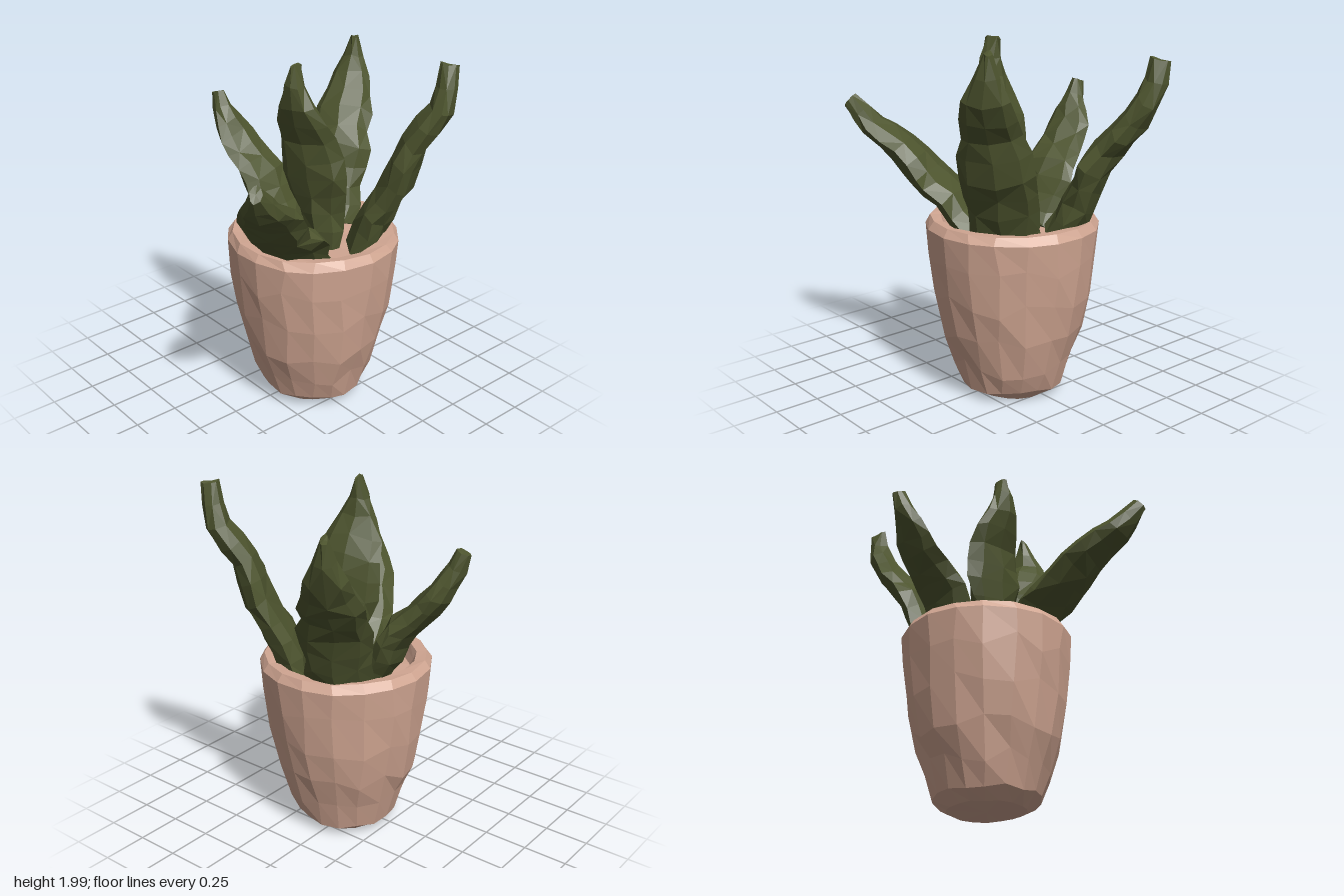
import * as THREE from 'three';
import { mergeVertices } from 'three/addons/utils/BufferGeometryUtils.js';

// Repeatable noise in -1..1
const noise = (n) => {
  const s = Math.sin(n * 127.1 + 11.7) * 43758.5453;
  return (s - Math.floor(s)) * 2 - 1;
};

const potMaterial = new THREE.MeshStandardMaterial({ color: 0xd2a793, flatShading: true, roughness: 0.9 });
const leafMaterial = new THREE.MeshStandardMaterial({ color: 0x4d542e, flatShading: true, roughness: 0.9 });

// Hand-carved pot: outer wall, rounded rim, stepped inside and soil floor
function makePot() {
  const profile = [
    [0, 0.005], [0.215, 0.008], [0.292, 0.065], [0.34, 0.21], [0.398, 0.39], [0.437, 0.6],
    [0.465, 0.8], [0.479, 0.975], [0.45, 1.02], [0.392, 1.015], [0.375, 0.97], [0.355, 0.93], [0, 0.925],
  ].map(([r, y]) => new THREE.Vector2(r, y));
  let geo = new THREE.LatheGeometry(profile, 18);
  geo.deleteAttribute('normal');
  geo.deleteAttribute('uv');
  geo = mergeVertices(geo, 1e-4);
  const p = geo.attributes.position;
  for (let i = 0; i < p.count; i++) {
    const x = p.getX(i), y = p.getY(i), z = p.getZ(i);
    const r = Math.hypot(x, z);
    if (r < 0.01) continue;
    // Slide wall points up or down so the facets become irregular; the foot edge zigzags
    let lift = 0.004;
    if (y > 0.03 && y < 0.1) lift = 0.015;
    else if (y > 0.1 && y < 0.9) lift = 0.045;
    const a = Math.atan2(x, z) + noise(i) * 0.035;
    const rr = r * (1 + noise(i + 300) * 0.005);
    p.setXYZ(i, Math.sin(a) * rr, y + noise(i + 600) * lift, Math.cos(a) * rr);
  }
  geo.computeVertexNormals();
  const pot = new THREE.Mesh(geo, potMaterial);
  pot.name = 'pot';
  pot.position.set(0.044, 0, 0.035);
  return pot;
}

// Thick wavy leaf: eight-sided ridged sections swept along a curve
function makeLeaf({ name, path, across, widths, thick }, seed) {
  const SIDES = 8, RINGS = 10;
  const curve = new THREE.CatmullRomCurve3(path.map((q) => new THREE.Vector3(...q)));
  const widthCurve = new THREE.SplineCurve(widths.map((w, i) => new THREE.Vector2(i, w)));
  const side = new THREE.Vector3(across[0], 0, across[1]).normalize();
  const pos = [], index = [];

  for (let i = 0; i <= RINGS; i++) {
    const u = i / RINGS;
    const c = curve.getPointAt(u);
    const t = curve.getTangentAt(u);
    const n = t.clone().cross(side).normalize();
    const w = n.clone().cross(t);
    const halfW = widthCurve.getPoint(u).y * (1 + noise(seed + i) * 0.07);
    const halfT = thick * (1 - 0.45 * u * u);
    // Gentle waves across the blade, fading out at both ends
    c.addScaledVector(n, Math.sin(u * Math.PI * 4) * 0.016 * Math.sin(u * Math.PI));
    const jitter = 0.013 * (1 - 0.6 * u * u);
    for (let j = 0; j < SIDES; j++) {
      const a = (j / SIDES) * Math.PI * 2;
      const k = seed + i * SIDES + j;
      const ridge = Math.sin(a) * Math.abs(Math.sin(a)) ** 0.2;
      const v = c.clone()
        .addScaledVector(w, Math.cos(a) * halfW + noise(k) * jitter)
        .addScaledVector(n, ridge * halfT + noise(k + 200) * jitter)
        .addScaledVector(t, noise(k + 400) * jitter * 1.3);
      pos.push(v.x, v.y, v.z);
    }
  }
  for (let i = 0; i < RINGS; i++) {
    for (let j = 0; j < SIDES; j++) {
      const a = i * SIDES + j, b = i * SIDES + (j + 1) % SIDES;
      const d = a + SIDES, c = b + SIDES;
      if ((i + j) % 2) index.push(a, b, c, a, c, d);
      else index.push(a, b, d, b, c, d);
    }
  }
  // Close the root and the blunt tip
  const root = pos.length / 3, tip = root + 1, last = RINGS * SIDES;
  pos.push(...curve.getPoint(0).toArray(), ...curve.getPoint(1).toArray());
  for (let j = 0; j < SIDES; j++) {
    const k = (j + 1) % SIDES;
    index.push(k, j, root, last + j, last + k, tip);
  }

  const geo = new THREE.BufferGeometry();
  geo.setAttribute('position', new THREE.Float32BufferAttribute(pos, 3));
  geo.setIndex(index);
  geo.computeVertexNormals();
  const leaf = new THREE.Mesh(geo, leafMaterial);
  leaf.name = name;
  return leaf;
}

// path: centre line from soil to tip; across: horizontal blade direction (x, z)
const LEAVES = [
  {
    name: 'frontRightLeaf', across: [0.58, 0.81], thick: 0.095,
    path: [[-0.15, 0.92, 0.15], [-0.26, 1.07, 0.21], [-0.43, 1.25, 0.29], [-0.61, 1.43, 0.44], [-0.75, 1.61, 0.555]],
    widths: [0.17, 0.2, 0.195, 0.155, 0.115, 0.03],
  },
  {
    name: 'frontLeftLeaf', across: [0.75, -0.66], thick: 0.095,
    path: [[0.23, 0.92, 0.24], [0.31, 1.25, 0.34], [0.37, 1.5, 0.44], [0.46, 1.75, 0.55], [0.495, 1.985, 0.565]],
    widths: [0.19, 0.19, 0.195, 0.165, 0.115, 0.02],
  },
  {
    name: 'backLeftLeaf', across: [0.5, 0.86], thick: 0.095,
    path: [[0.28, 0.92, -0.11], [0.42, 1.25, -0.2], [0.54, 1.5, -0.28], [0.69, 1.72, -0.36], [0.715, 1.9, -0.38]],
    widths: [0.17, 0.185, 0.19, 0.16, 0.115, 0.02],
  },
  {
    name: 'backLeaf', across: [0.97, -0.22], thick: 0.085,
    path: [[0, 0.92, -0.13], [-0.02, 1.2, -0.3], [-0.06, 1.4, -0.45], [-0.11, 1.57, -0.57], [-0.12, 1.68, -0.605]],
    widths: [0.15, 0.175, 0.17, 0.14, 0.1, 0.03],
  },
  {
    name: 'centreLeaf', across: [0.3, 0.95], thick: 0.085,
    path: [[0.08, 0.92, 0.09], [0.05, 1.2, 0.08], [0.03, 1.4, 0.065], [-0.05, 1.63, 0.055], [-0.1, 1.82, 0.06], [-0.09, 1.975, 0.05]],
    widths: [0.11, 0.15, 0.19, 0.185, 0.11, 0.015],
  },
];

export function createModel() {
  const model = new THREE.Group();
  model.name = 'pottedPlant';
  model.add(makePot());
  const leaves = new THREE.Group();
  leaves.name = 'leaves';
  LEAVES.forEach((spec, i) => leaves.add(makeLeaf(spec, 1000 * (i + 1))));
  model.add(leaves);
  return model;
}
